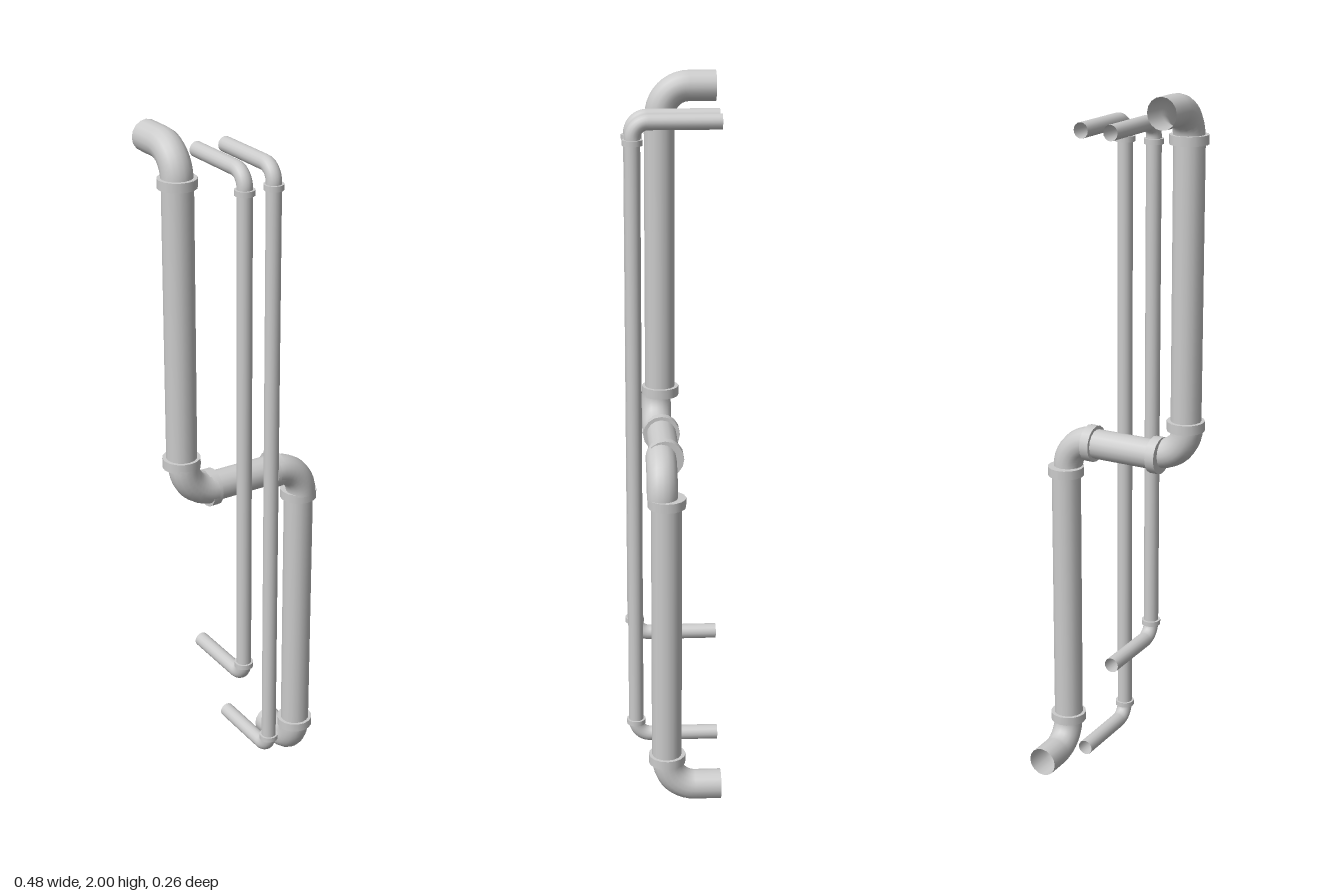
import * as THREE from 'three';

const SIDES = 16;
const material = new THREE.MeshStandardMaterial({ color: 0xcccccc, side: THREE.DoubleSide });
const V = (x, y, z) => new THREE.Vector3(x, y, z);

// Quarter bend from a to b, tangent to the two lines that meet at the corner
class Bend extends THREE.Curve {
  constructor(a, corner, b) {
    super();
    this.u = corner.clone().sub(b);
    this.v = corner.clone().sub(a);
    this.center = a.clone().add(b).sub(corner);
  }
  getPoint(t, target = new THREE.Vector3()) {
    const w = t * Math.PI / 2;
    return target.copy(this.center).addScaledVector(this.u, Math.cos(w)).addScaledVector(this.v, Math.sin(w));
  }
}

function add(group, name, geometry) {
  const mesh = new THREE.Mesh(geometry, material);
  mesh.name = name;
  group.add(mesh);
  return mesh;
}

// Cylinder between two points; pipes are open, collars are closed
function straight(group, name, a, b, r, open = true) {
  const dir = b.clone().sub(a);
  const mesh = add(group, name, new THREE.CylinderGeometry(r, r, dir.length(), SIDES, 1, open));
  mesh.position.copy(a).add(b).multiplyScalar(0.5);
  mesh.quaternion.setFromUnitVectors(V(0, 1, 0), dir.normalize());
}

function elbow(group, name, a, corner, b, r) {
  add(group, name, new THREE.TubeGeometry(new Bend(a, corner, b), 10, r, SIDES, false));
}

// Bend from a vertical pipe back to the wall, followed by the wall stub
function wallOutlet(group, name, x, y, z, r, bend, sign) {
  const end = V(x, y, z - bend);
  elbow(group, name + 'Elbow', V(x, y - sign * bend, z), V(x, y, z), end, r);
  straight(group, name + 'WallStub', end, V(x, y, -0.132), r);
}

function verticalCollar(group, name, x, y0, y1, z, r) {
  straight(group, name, V(x, y0, z), V(x, y1, z), r, false);
}

export function createModel() {
  const model = new THREE.Group();
  model.name = 'wallPipes';

  // Large stepped drain pipe
  const drain = new THREE.Group();
  drain.name = 'largePipe';
  model.add(drain);
  const R = 0.042, CR = 0.052, X = 0.19, Z = 0.021, EZ = 0.032, B = 0.078;
  straight(drain, 'upperPipe', V(-X, 1.09, Z), V(-X, 1.88, Z), R);
  straight(drain, 'lowerPipe', V(X, 0.12, Z), V(X, 0.91, Z), R);
  straight(drain, 'crossPipe', V(-0.11, 1, Z), V(0.11, 1, Z), R);
  wallOutlet(drain, 'top', -X, 1.958, Z - 0.002, R, B, 1);
  wallOutlet(drain, 'bottom', X, 0.042, Z - 0.002, R, B, -1);
  for (const s of [-1, 1]) {
    const side = s < 0 ? 'right' : 'left';
    const y = 1.003;
    elbow(drain, side + 'StepElbow', V(s * X, y - s * 0.09, EZ), V(s * X, y, EZ), V(s * 0.1, y, EZ), R);
    straight(drain, side + 'CrossCollar', V(s * 0.09, 1, Z), V(s * 0.117, 1, Z), CR, false);
  }
  for (const [x, y0, y1] of [[-X, 1.862, 1.887], [-X, 1.087, 1.114], [X, 0.892, 0.918], [X, 0.118, 0.143]])
    verticalCollar(drain, 'collar', x, y0, y1, Z - 0.001, CR);

  // Two thin supply pipes of different length
  for (const [name, x, bottom] of [['shortThinPipe', -0.043, 0.411], ['longThinPipe', 0.044, 0.129]]) {
    const pipe = new THREE.Group();
    pipe.name = name;
    model.add(pipe);
    const r = 0.021, z = 0.102, top = 1.899, bend = 0.042;
    straight(pipe, 'riser', V(x, bottom + bend, z), V(x, top - bend, z), r);
    wallOutlet(pipe, 'top', x, top, z, r, bend, 1);
    wallOutlet(pipe, 'bottom', x, bottom, z, r, bend, -1);
    verticalCollar(pipe, 'topCollar', x, top - 0.06, top - 0.045, z, 0.027);
    verticalCollar(pipe, 'bottomCollar', x, bottom + 0.036, bottom + 0.05, z, 0.027);
  }
  return model;
}
